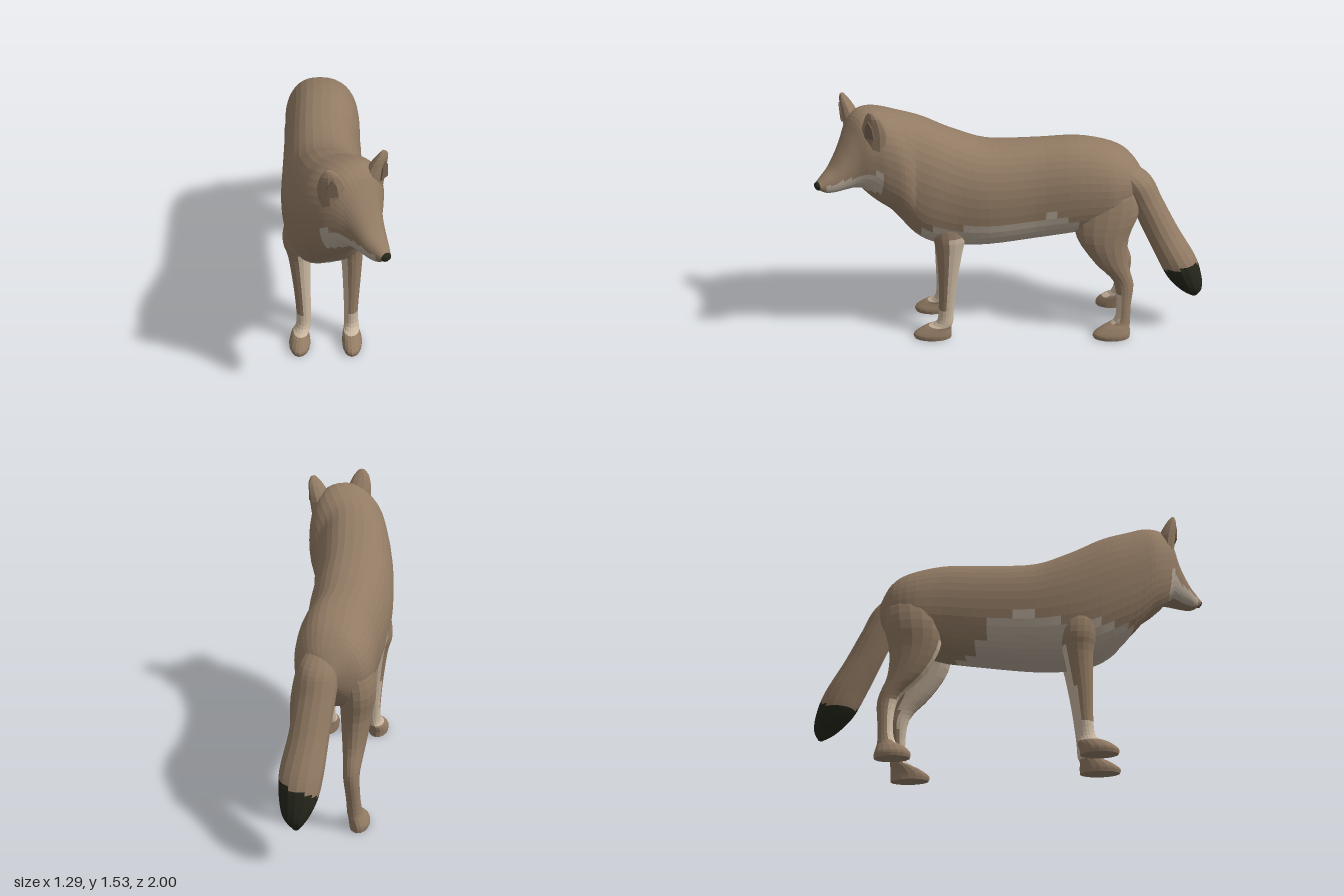
import * as THREE from 'three';

const mat = (name, color) => {
  const m = new THREE.MeshStandardMaterial({ color });
  m.name = name;
  return m;
};
const FUR = 0, BELLY = 1, CREAM = 2, BLACK = 3, INNER = 4;

// Catmull-Rom interpolation of every column in a short table of sections
function refine(rows, steps) {
  const out = [];
  const at = i => rows[Math.min(Math.max(i, 0), rows.length - 1)];
  for (let i = 0; i < rows.length - 1; i++) {
    for (let k = 0; k < steps; k++) {
      const t = k / steps;
      out.push(at(i).map((b, c) => {
        const a = at(i - 1)[c], d = at(i + 1)[c], e = at(i + 2)[c];
        return b + 0.5 * t * (d - a + t * (2 * a - 5 * b + 4 * d - e + t * (3 * (b - d) + e - a)));
      }));
    }
  }
  out.push(rows[rows.length - 1]);
  return out;
}

const middle = pts => pts.reduce((s, p) => s.add(p), new THREE.Vector3()).divideScalar(pts.length);
const areaVector = pts => pts[2].clone().sub(pts[0]).cross(pts[pts.length - 1].clone().sub(pts[1]));

// Faceted closed skin over rings; pick(centre, normal) chooses each face's colour
function skin(name, rings, materials, pick) {
  const faces = [], n = rings[0].length, last = rings[rings.length - 1];
  const start = middle(rings[0]), end = middle(last);
  for (let i = 0; i < n; i++) {
    const j = (i + 1) % n;
    for (let r = 0; r < rings.length - 1; r++) {
      faces.push([rings[r][i], rings[r][j], rings[r + 1][j], rings[r + 1][i]]);
    }
    faces.push([start, rings[0][j], rings[0][i]], [end, last[i], last[j]]);
  }
  // turn all faces outward
  if (faces.reduce((s, f) => s + middle(f).dot(areaVector(f)), 0) < 0) faces.forEach(f => f.reverse());

  const buckets = materials.map(() => []);
  for (const f of faces) {
    const bucket = buckets[pick(middle(f), areaVector(f).normalize())];
    for (let k = 2; k < f.length; k++) bucket.push(f[0], f[k - 1], f[k]);
  }
  const geo = new THREE.BufferGeometry().setFromPoints(buckets.flat());
  let first = 0;
  buckets.forEach((pts, i) => {
    if (pts.length) geo.addGroup(first, pts.length, i);
    first += pts.length;
  });
  geo.computeVertexNormals();
  const mesh = new THREE.Mesh(geo, materials);
  mesh.name = name;
  return mesh;
}

const leftOf = d => new THREE.Vector3(d.z, 0, -d.x);
const HEADING = new THREE.Vector3(-0.556, 0, 0.831);
const SIDE = leftOf(HEADING);
const power = (v, e) => Math.sign(v) * Math.abs(v) ** e;

// Level rings from rows of [x, y, z, side radius, fore radius]
function levelRings(rows, sides, dir, steps = 3) {
  const side = leftOf(dir);
  return refine(rows, steps).map(([x, y, z, rs, rf]) => Array.from({ length: sides }, (_, i) => {
    const a = i / sides * Math.PI * 2;
    return new THREE.Vector3(x, y, z).addScaledVector(side, rs * Math.cos(a)).addScaledVector(dir, rf * Math.sin(a));
  }));
}

// Upright rings from rows of [x, z, half width, top, bottom], turned along the spine, fuller below
function spineRings(rows, sides) {
  const fine = refine(rows, 4);
  return fine.map(([x, z, w, top, bottom], k) => {
    const a = fine[Math.max(k - 1, 0)], b = fine[Math.min(k + 1, fine.length - 1)];
    const side = leftOf(new THREE.Vector3(b[0] - a[0], 0, b[1] - a[1]).normalize());
    return Array.from({ length: sides }, (_, i) => {
      const t = i / sides * Math.PI * 2, s = Math.sin(t);
      const y = (top + bottom) / 2 + (top - bottom) / 2 * (s < 0 ? power(s, 0.9) : s);
      return new THREE.Vector3(x, y, z).addScaledVector(side, w * power(Math.cos(t), s < 0 ? 0.65 : 0.84));
    });
  });
}

export function createModel() {
  const g = new THREE.Group();
  g.name = 'wolf';
  const mats = [
    mat('brown fur', 0x927b64), mat('grey belly fur', 0xb5a898), mat('cream leg fur', 0xcab7a0),
    mat('black', 0x25261b), mat('dark inner ear', 0x756251),
  ];

  // Torso, neck and head in one skin, rump to nose
  const spine = [
    [0.325, -0.735, 0.05, 1.01, 0.89], [0.285, -0.68, 0.155, 1.10, 0.78], [0.215, -0.59, 0.21, 1.175, 0.70],
    [0.115, -0.42, 0.22, 1.22, 0.66], [-0.025, -0.21, 0.22, 1.21, 0.62], [-0.16, 0.02, 0.235, 1.215, 0.595],
    [-0.26, 0.18, 0.235, 1.28, 0.595], [-0.33, 0.32, 0.235, 1.365, 0.63], [-0.38, 0.44, 0.23, 1.42, 0.72],
    [-0.395, 0.55, 0.245, 1.47, 0.86], [-0.40, 0.65, 0.21, 1.49, 0.95], [-0.40, 0.725, 0.16, 1.46, 1.04],
    [-0.40, 0.78, 0.115, 1.375, 1.06], [-0.40, 0.83, 0.09, 1.29, 1.06], [-0.40, 0.89, 0.07, 1.205, 1.06],
    [-0.40, 0.94, 0.05, 1.165, 1.065], [-0.40, 0.98, 0.03, 1.135, 1.09],
  ];
  g.add(skin('body', spineRings(spine, 36), mats, (p, n) => {
    const muzzle = p.z > 0.665 && p.z < 0.955 && p.y > 1.035 && p.y < 1.115 + (0.96 - p.z) * 0.25
      && Math.abs(p.x + 0.4) > 0.035 && n.y > -0.9;
    // belly patch with a peak on the flank
    const edge = 0.775 + 0.08 * Math.exp(-(((p.z + 0.17) / 0.07) ** 2));
    const belly = p.y < edge && p.z > -0.33 && p.z < 0.45;
    return muzzle || belly ? BELLY : FUR;
  }));

  // Nose
  const nose = new THREE.Mesh(new THREE.SphereGeometry(1, 8, 6), mats[BLACK]);
  nose.name = 'nose';
  nose.scale.set(0.03, 0.025, 0.021);
  nose.position.set(-0.4, 1.112, 0.979);
  g.add(nose);

  // Ears, turned slightly outward, with a thin dark inner plate
  for (const [s, label] of [[1, 'left'], [-1, 'right']]) {
    const ear = new THREE.Group();
    ear.name = label + 'EarGroup';
    ear.position.set(-0.4 + s * 0.14, 0, 0.69);
    ear.rotation.y = s * 0.4;
    const rows = [
      [-s * 0.015, 1.30, -0.02, 0.07, 0.05], [-s * 0.01, 1.40, -0.01, 0.077, 0.05], [0, 1.46, 0.005, 0.064, 0.04],
      [s * 0.008, 1.51, 0.022, 0.044, 0.026], [s * 0.01, 1.54, 0.03, 0.016, 0.012],
    ];
    ear.add(skin(label + 'Ear', levelRings(rows, 10, new THREE.Vector3(0, 0, 1), 2), mats, () => FUR));
    const shape = new THREE.Shape([
      new THREE.Vector2(-0.032, -0.055), new THREE.Vector2(0.032, -0.055),
      new THREE.Vector2(0.022, 0.015), new THREE.Vector2(0, 0.05), new THREE.Vector2(-0.022, 0.015),
    ]);
    const inner = new THREE.Mesh(new THREE.ExtrudeGeometry(shape, { depth: 0.008, bevelEnabled: false }), mats[INNER]);
    inner.name = label + 'InnerEar';
    inner.position.set(0, 1.445, 0.042);
    inner.rotation.x = 0.06;
    ear.add(inner);
    g.add(ear);
  }

  // Tail, flowing out of the rump, with a black tip on a slanting edge
  const tail = [
    [0.25, 1.10, -0.57, 0.06, 0.06], [0.325, 1.00, -0.66, 0.105, 0.10], [0.375, 0.86, -0.72, 0.108, 0.098],
    [0.44, 0.68, -0.785, 0.108, 0.105], [0.515, 0.50, -0.855, 0.118, 0.115], [0.55, 0.38, -0.895, 0.103, 0.105],
    [0.58, 0.29, -0.93, 0.068, 0.07], [0.59, 0.23, -0.955, 0.015, 0.015],
  ];
  g.add(skin('tail', levelRings(tail, 16, HEADING, 6), mats,
    p => (p.y < 0.43 + 0.4 * (p.x - 0.53) ? BLACK : FUR)));

  // Legs: rows run from the shoulder or hip down to the sole
  const legs = {
    leftFrontLeg: {
      rows: [
        [-0.22, 0.95, 0.28, 0.04, 0.06], [-0.18, 0.82, 0.29, 0.07, 0.10], [-0.157, 0.70, 0.29, 0.075, 0.10],
        [-0.15, 0.60, 0.295, 0.063, 0.078], [-0.157, 0.40, 0.305, 0.05, 0.055], [-0.168, 0.20, 0.315, 0.04, 0.045],
        [-0.172, 0.11, 0.325, 0.042, 0.05], [-0.195, 0.075, 0.36, 0.05, 0.08], [-0.208, 0.035, 0.388, 0.058, 0.112],
        [-0.208, 0.005, 0.388, 0.054, 0.11],
      ],
      pick: (p, n) => (p.y < 0.7 && p.y > 0.08 && (n.z < 0.58 || p.y < 0.18) ? CREAM : FUR),
    },
    rightFrontLeg: {
      rows: [
        [-0.37, 0.95, 0.18, 0.04, 0.06], [-0.41, 0.82, 0.15, 0.07, 0.10], [-0.415, 0.70, 0.14, 0.08, 0.10],
        [-0.405, 0.60, 0.145, 0.066, 0.082], [-0.405, 0.40, 0.165, 0.05, 0.06], [-0.405, 0.20, 0.18, 0.042, 0.045],
        [-0.415, 0.11, 0.187, 0.043, 0.05], [-0.445, 0.075, 0.203, 0.05, 0.085], [-0.465, 0.035, 0.228, 0.062, 0.105],
        [-0.465, 0.005, 0.228, 0.058, 0.103],
      ],
      pick: (p, n) => (p.y < 0.64 && p.y > 0.08 && (n.x > -0.45 || p.y < 0.22) ? CREAM : FUR),
    },
    leftHindLeg: {
      rows: [
        [0.24, 1.08, -0.56, 0.06, 0.08], [0.275, 0.95, -0.54, 0.105, 0.16], [0.295, 0.80, -0.50, 0.11, 0.19],
        [0.315, 0.65, -0.465, 0.09, 0.15], [0.352, 0.50, -0.50, 0.068, 0.10], [0.385, 0.40, -0.55, 0.05, 0.065],
        [0.40, 0.33, -0.57, 0.045, 0.055], [0.415, 0.20, -0.56, 0.04, 0.042], [0.417, 0.11, -0.55, 0.043, 0.05],
        [0.41, 0.075, -0.515, 0.05, 0.08], [0.405, 0.035, -0.485, 0.056, 0.11], [0.405, 0.005, -0.485, 0.053, 0.108],
      ],
      pick: (p, n) => {
        const s = n.dot(SIDE), h = n.dot(HEADING);
        if (p.y > 0.74 || p.y < 0.08) return FUR;
        return (p.y > 0.3 ? s < 0.15 && h > -0.15 : h > 0.45) ? CREAM : FUR;
      },
    },
    rightHindLeg: {
      rows: [
        [0.18, 1.08, -0.60, 0.06, 0.08], [0.12, 0.95, -0.635, 0.09, 0.145], [0.09, 0.80, -0.63, 0.10, 0.165],
        [0.09, 0.65, -0.62, 0.085, 0.14], [0.12, 0.50, -0.66, 0.066, 0.10], [0.16, 0.40, -0.72, 0.05, 0.065],
        [0.175, 0.33, -0.74, 0.045, 0.053], [0.165, 0.20, -0.745, 0.04, 0.042], [0.152, 0.11, -0.74, 0.043, 0.05],
        [0.13, 0.075, -0.725, 0.05, 0.08], [0.113, 0.035, -0.72, 0.057, 0.10], [0.113, 0.005, -0.72, 0.054, 0.098],
      ],
      pick: (p, n) => {
        const s = n.dot(SIDE), h = n.dot(HEADING);
        if (p.y > 0.69 || p.y < 0.08) return FUR;
        return (p.y > 0.36 ? s > -0.35 && h > -0.2 : h > 0.4) ? CREAM : FUR;
      },
    },
  };
  for (const [name, { rows, pick }] of Object.entries(legs)) {
    g.add(skin(name, levelRings(rows, 16, HEADING), mats, pick));
  }
  return g;
}
